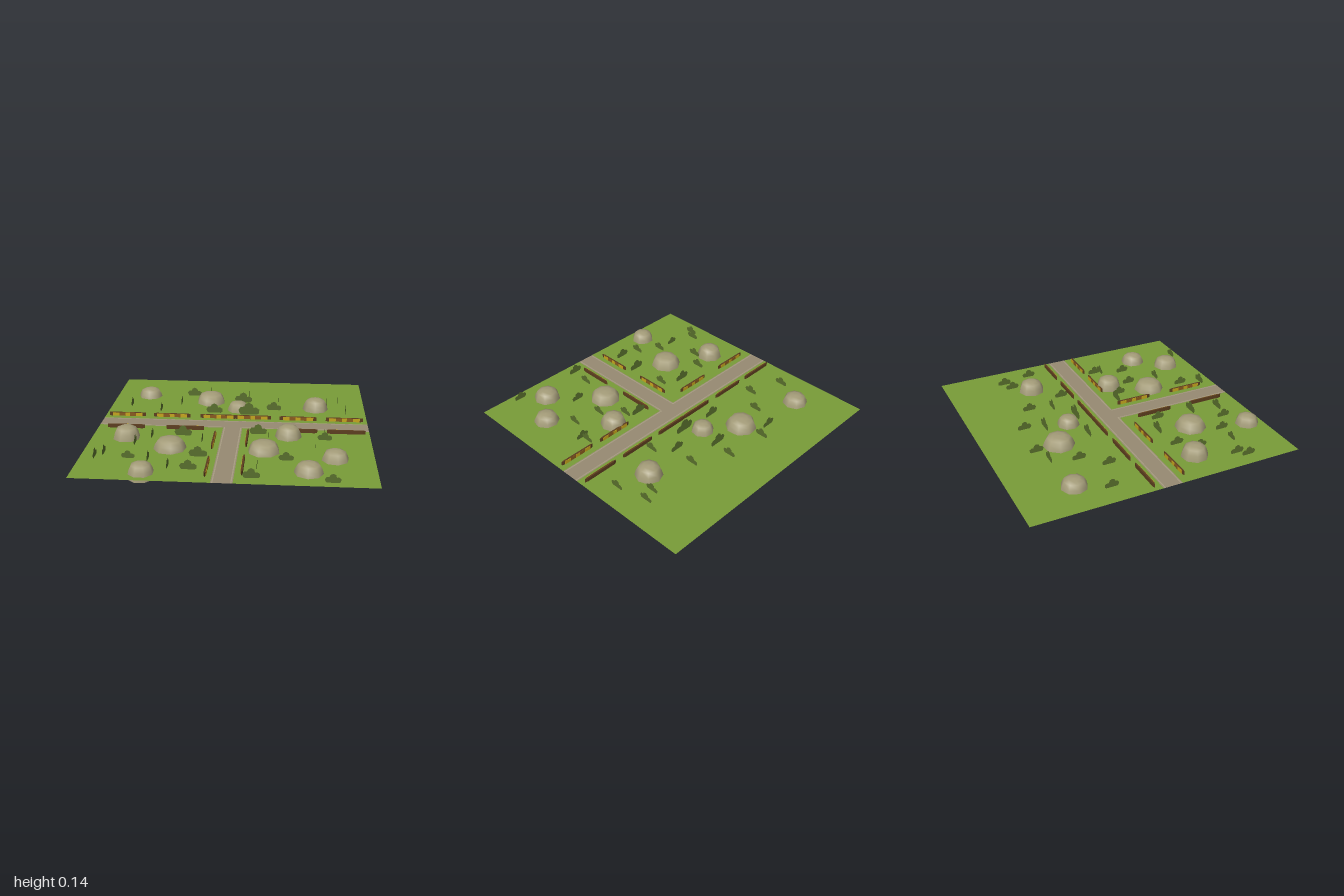
import * as THREE from 'three';

const paint = (name, color, double) => {
  const m = new THREE.MeshStandardMaterial({ color });
  m.name = name;
  if (double) m.side = THREE.DoubleSide;
  return m;
};

export function createModel() {
  const grass = paint('grass', 0x789c38, true);
  const road = paint('road', 0x968a72, true);
  const verge = paint('verge', 0xa89c82, true);
  const stone = paint('stone', 0xa39b78, true);
  const leaf = paint('leaf', 0x586e2c, true);
  const darkWood = paint('darkWood', 0x5c3d1e);
  const wood = paint('wood', 0x8a5a1c);
  const yellow = paint('yellow', 0xc4a51c);

  const G = 0.044; // ground level
  const model = new THREE.Group();
  const add = (name, geometry, material, parent = model) => {
    const mesh = new THREE.Mesh(geometry, material);
    mesh.name = name;
    parent.add(mesh);
    return mesh;
  };
  const flat = (name, x0, x1, z0, z1, material, y = G) => {
    const g = new THREE.PlaneGeometry(x1 - x0, z1 - z0).rotateX(-Math.PI / 2);
    add(name, g.translate((x0 + x1) / 2, y, (z0 + z1) / 2), material);
  };

  // Grass around a T-shaped road
  flat('backGrass', -1, 1, -1, -0.075, grass);
  flat('frontRightGrass', -1, -0.075, 0.068, 1, grass);
  flat('frontLeftGrass', 0.068, 1, 0.068, 1, grass);
  flat('mainRoad', -1, 1, -0.075, 0.068, road);
  flat('sideRoad', -0.075, 0.068, 0.068, 1, road);

  // Pale lines along the road edges
  flat('backVerge', -1, 1, -0.068, -0.06, verge, G + 0.001);
  for (const [a, b] of [[-1, -0.06], [0.06, 1]]) flat('frontVerge', a, b, 0.053, 0.061, verge, G + 0.001);
  for (const x of [-0.064, 0.057]) flat('sideVerge', x - 0.004, x + 0.004, 0.061, 1, verge, G + 0.001);

  // Boulders: x, z, radius, bottom, top
  const boulders = [
    [-0.73, -0.59, 0.1, 0.008, 0.115], [-0.22, -0.485, 0.117, 0.03, 0.125],
    [0.01, -0.315, 0.085, 0.03, 0.115], [0.615, -0.375, 0.102, 0.02, 0.135],
    [-0.75, 0.305, 0.1, 0.03, 0.135], [-0.41, 0.475, 0.118, 0.03, 0.125],
    [0.41, 0.205, 0.098, 0.03, 0.132], [0.245, 0.48, 0.116, 0.03, 0.12],
    [0.73, 0.585, 0.1, 0.006, 0.118], [0.55, 0.805, 0.102, 0.02, 0.12],
    [-0.54, 0.88, 0.093, 0.01, 0.118],
  ];
  const domeProfile = [[1, 0], [0.97, 0.2], [0.87, 0.55], [0.7, 0.85], [0.38, 0.97], [0, 1]]
    .map(([r, y]) => new THREE.Vector2(r, y));
  const dome = new THREE.LatheGeometry(domeProfile, 8);
  boulders.forEach(([x, z, r, y0, y1], i) => {
    const b = add('boulder', dome, stone);
    b.position.set(x, y0, z);
    b.scale.set(r, y1 - y0, r);
    b.rotation.y = i * 1.3;
  });

  // Low fence rails, pointed at both ends, painted on the side facing the road
  const L = 0.14, T = 0.006, H = 0.03;
  const plan = new THREE.Shape([
    [-L, 0], [-L + 0.022, -T], [L - 0.022, -T], [L, 0], [L - 0.022, T], [-L + 0.022, T],
  ].map(([x, y]) => new THREE.Vector2(x, y)));
  const rail = new THREE.ExtrudeGeometry(plan, { depth: H, bevelEnabled: false }).rotateX(-Math.PI / 2);
  const panel = (w, x) => new THREE.BoxGeometry(w, H - 0.004, 0.003).translate(x, H / 2 + 0.001, T + 0.001);
  const woodPanel = panel(0.23, 0);
  const yellowPanels = [[0.05, -0.09], [0.035, 0.0], [0.05, 0.09]].map(([w, x]) => panel(w, x).translate(0, 0, 0.001));
  const fence = (x, z, turn) => {
    const f = new THREE.Group();
    f.name = 'fence';
    add('fenceRail', rail, darkWood, f);
    add('fencePanel', woodPanel, wood, f);
    for (const g of yellowPanels) add('fenceStripe', g, yellow, f);
    f.position.set(x, G - 0.002, z);
    f.rotation.y = turn;
    model.add(f);
  };
  for (const x of [-0.83, -0.485, -0.125, 0.135, 0.48, 0.83]) fence(x, -0.125, 0);
  for (const x of [-0.79, -0.35, 0.48, 0.83]) fence(x, 0.12, Math.PI);
  for (const z of [0.335, 0.78]) fence(-0.12, z, Math.PI / 2);
  for (const z of [0.28, 0.74]) fence(0.117, z, -Math.PI / 2);

  // Flat upright bushes with lobed outlines
  const outline = [
    [-0.028, -0.012], [0.03, -0.012], [0.056, 0.008], [0.058, 0.03], [0.04, 0.042], [0.026, 0.04],
    [0.02, 0.06], [0, 0.07], [-0.02, 0.06], [-0.026, 0.045], [-0.045, 0.044], [-0.058, 0.025], [-0.05, 0.006],
  ].map(([x, y]) => new THREE.Vector2(x, y));
  const bushGeometry = new THREE.ShapeGeometry(new THREE.Shape(outline));
  const bush = (x, z, turn, s = 1) => {
    const b = add('bush', bushGeometry, leaf);
    b.position.set(x, G, z);
    b.rotation.y = turn;
    b.scale.set(s, s, 1);
  };
  // Facing the front
  for (const [x, z, s] of [
    [-0.37, -0.62, 1], [0.04, -0.49, 1.2], [0.1, -0.22, 1.4], [0.29, -0.33, 1], [-0.17, -0.24, 1.1],
    [-0.35, 0.235, 1.1], [-0.24, 0.81, 1], [0.18, 0.91, 1], [0.19, 0.17, 1.1], [0.67, 0.25, 0.9],
    [-0.67, 0.66, 0.8], [0.4, 0.62, 0.9], [0.7, 0.94, 0.9], [-0.2, 0.6, 1.1],
  ]) bush(x, z, 0, s);
  // Facing the sides
  for (const [x, z] of [
    [-0.84, -0.37], [-0.59, -0.27], [-0.45, -0.43], [-0.24, -0.66], [0.08, -0.63], [0.325, -0.5],
    [0.71, -0.5], [0.8, -0.535], [0.85, -0.31], [0.42, -0.2], [-0.9, 0.65], [-0.85, 0.59],
    [-0.53, 0.67], [-0.67, 0.4], [-0.38, 0.78], [-0.57, 0.27], [0.21, 0.75], [0.67, 0.2],
    [0.4, 0.38], [0.6, 0.42], [-0.2, 0.32], [0.27, 0.23],
  ]) bush(x, z, Math.PI / 2, 0.9);

  return model;
}
